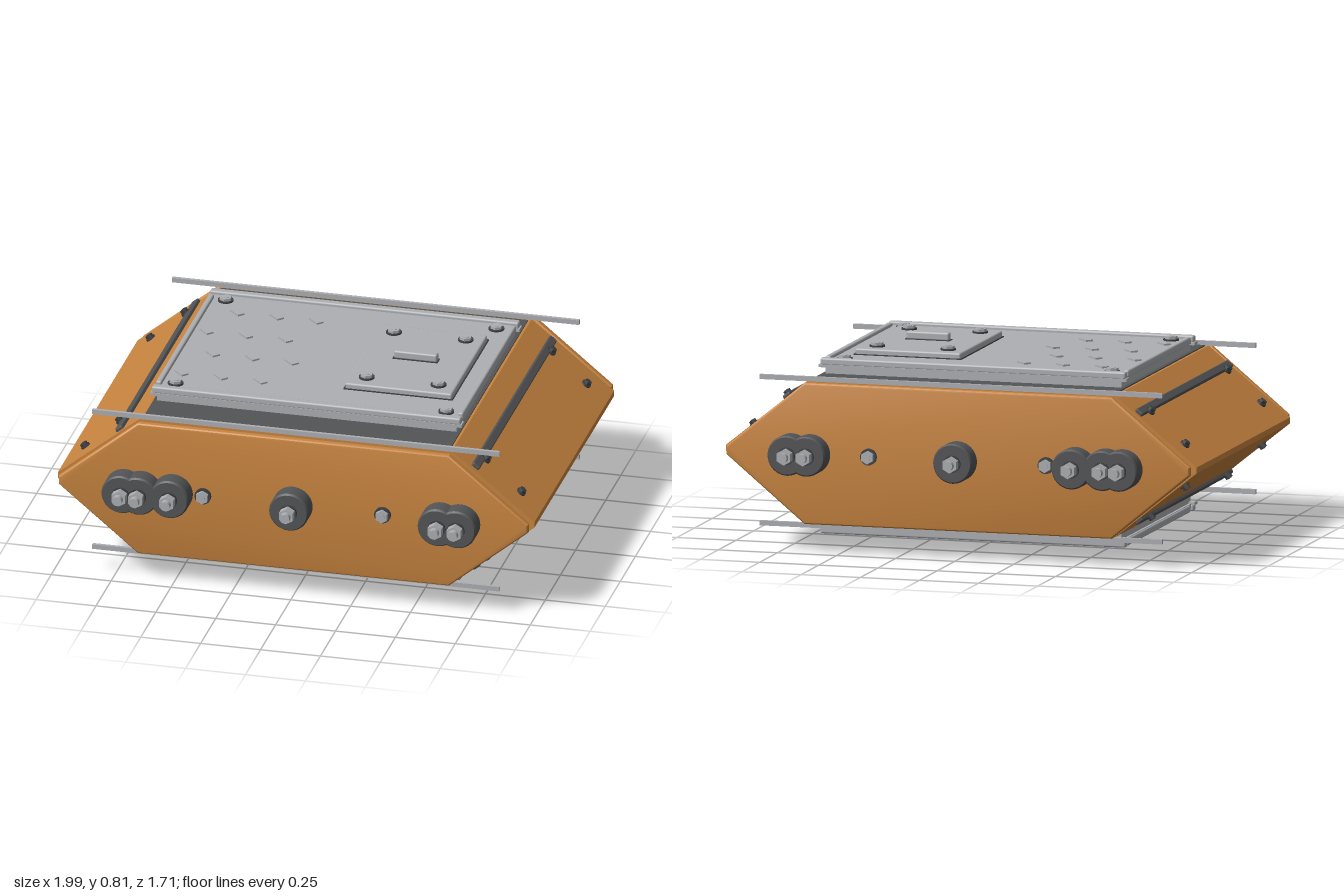
import * as THREE from 'three';
import { toCreasedNormals } from 'three/addons/utils/BufferGeometryUtils.js';
import { RoundedBoxGeometry } from 'three/addons/geometries/RoundedBoxGeometry.js';

const MID = 0.405; // height of the plane of symmetry

const paint = (name, color) => {
  const m = new THREE.MeshStandardMaterial({ color });
  m.name = name;
  return m;
};

export function createModel() {
  const orange = paint('orange paint', 0xc8843f);
  const dark = paint('dark rubber', 0x535456);
  const black = paint('blackened steel', 0x3f4144);
  const silver = paint('silver steel', 0xadafb2);

  const add = (parent, name, geo, mat, x = 0, y = 0, z = 0) => {
    const mesh = new THREE.Mesh(geo, mat);
    mesh.name = name;
    mesh.position.set(x, y, z);
    parent.add(mesh);
    return mesh;
  };
  const box = (w, h, d) => new THREE.BoxGeometry(w, h, d);
  const hexGeo = (r, h) => toCreasedNormals(new THREE.CylinderGeometry(r, r, h, 6), 0.5);
  const disc = (r, h) => new THREE.CylinderGeometry(r, r, h, 32);

  // Hex bolt on a washer, standing on local y = 0
  const bolt = (parent, name, r, h, washerMat, headMat) => {
    const g = new THREE.Group();
    g.name = name;
    add(g, 'washer', disc(r, h * 0.4), washerMat, 0, h * 0.2);
    add(g, 'hexHead', hexGeo(r * 0.8, h * 0.6), headMat, 0, h * 0.7);
    add(g, 'boltTip', disc(r * 0.42, h * 0.1), headMat, 0, h * 1.05);
    parent.add(g);
    return g;
  };

  // Six-sided outline extruded along z and centred
  const hull = (tip, shoulder, half, depth, bevel) => {
    const s = new THREE.Shape();
    const b = bevel;
    [[tip - b, 0.012], [shoulder, half - b], [-shoulder, half - b], [-tip + b, 0.012],
      [-tip + b, -0.012], [-shoulder, -half + b], [shoulder, -half + b], [tip - b, -0.012]]
      .forEach(([x, y], i) => (i ? s.lineTo(x, y) : s.moveTo(x, y)));
    s.closePath();
    const geo = new THREE.ExtrudeGeometry(s, {
      depth: depth - 2 * b, bevelEnabled: b > 0, bevelSize: b, bevelThickness: b, bevelSegments: 3,
    });
    geo.translate(0, 0, -depth / 2 + b);
    return toCreasedNormals(geo, 0.5);
  };

  const model = new THREE.Group();
  model.name = 'hexagonalHousing';
  const core = new THREE.Group();
  core.name = 'housing';
  core.position.y = MID;
  model.add(core);
  add(core, 'mainBody', hull(0.995, 0.65, 0.29, 1.32, 0), orange);

  // Front and back faces, each with its own hubs and bolts
  for (const side of [1, -1]) {
    const face = new THREE.Group();
    face.name = side > 0 ? 'frontFace' : 'backFace';
    core.add(face);
    add(face, 'sidePlate', hull(0.98, 0.645, 0.29, 0.034, 0.012), orange, 0, 0, side * 0.695);

    for (const x of [-0.7, -0.63, -0.5, 0, 0.62, 0.7]) {
      const hub = new THREE.Group();
      hub.name = 'hub';
      hub.position.set(x, 0, side * 0.66);
      hub.rotation.x = side * Math.PI / 2;
      face.add(hub);
      const profile = [[0, 0], [0.082, 0], [0.082, 0.122], [0.076, 0.13], [0, 0.13]]
        .map(([r, y]) => new THREE.Vector2(r, y));
      add(hub, 'hubDrum', toCreasedNormals(new THREE.LatheGeometry(profile, 40), 0.5), dark);
      add(hub, 'hubWasher', disc(0.036, 0.01), black, 0, 0.133);
      add(hub, 'hubNut', hexGeo(0.033, 0.035), silver, 0, 0.153);
      add(hub, 'hubStud', disc(0.02, 0.03), silver, 0, 0.18);
    }
    for (const x of [-0.375, 0.375]) {
      const b = bolt(face, 'plateBolt', 0.034, 0.03, black, silver);
      b.position.set(x, 0, side * 0.711);
      b.rotation.x = side * Math.PI / 2;
    }
    // Long thin strips overhanging the shoulders
    for (const sy of [1, -1]) {
      add(face, 'edgeStrip', box(1.7, 0.02, 0.014), silver, 0, sy * 0.3, side * 0.66);
    }
  }

  // Four sloping end panels with seal bars and bolts
  for (const sx of [1, -1]) {
    for (const sy of [1, -1]) {
      const slope = new THREE.Group();
      slope.name = 'slopeFittings';
      slope.position.set(sx * 0.74, sy * 0.217, 0);
      slope.rotation.z = Math.atan2(-sx * 0.278, sy * 0.345);
      core.add(slope);
      add(slope, 'sealBar', new RoundedBoxGeometry(0.036, 0.032, 1.28, 2, 0.006), dark);
      for (const z of [-0.54, 0.54]) {
        const inner = bolt(slope, 'barBolt', 0.02, 0.022, black, black);
        inner.position.set(sx * sy * 0.02, 0.008, z);
        const outer = bolt(slope, 'slopeBolt', 0.02, 0.02, black, black);
        outer.position.set(sx * sy * 0.215, 0, z);
      }
    }
  }

  // Cover assembly, used on the top and turned over on the bottom
  const makeCover = (name) => {
    const c = new THREE.Group();
    c.name = name;
    add(c, 'darkPanel', box(1.28, 0.012, 1.28), dark, 0, 0.289);
    add(c, 'coverBase', box(1.25, 0.035, 0.97), silver, 0, 0.313);
    add(c, 'coverPlate', box(1.27, 0.018, 0.97), silver, 0, 0.337);
    for (const s of [1, -1]) {
      add(c, 'longRail', new RoundedBoxGeometry(1.29, 0.03, 0.034, 2, 0.008), silver, 0, 0.345, s * 0.481);
      add(c, 'longLedge', box(1.3, 0.012, 0.04), silver, 0, 0.328, s * 0.48);
      add(c, 'shortRail', new RoundedBoxGeometry(0.024, 0.03, 0.88, 2, 0.008), silver, s * 0.63, 0.345);
      for (const z of [-0.415, 0.415]) {
        bolt(c, 'cornerBolt', 0.032, 0.018, black, silver).position.set(s * 0.565, 0.345, z);
      }
    }
    // Raised treads in staggered rows
    [-0.31, -0.105, 0.1, 0.31].forEach((z, row) => {
      for (let i = 0; i < 3; i++) {
        const x = -0.49 + i * 0.165 - (row % 2) * 0.077;
        add(c, 'tread', box(0.06, 0.008, 0.032), silver, x, 0.349, z).rotation.y = -Math.PI / 4;
      }
    });
    // Access hatch with handle
    add(c, 'hatchSeam', box(0.456, 0.008, 0.606), black, 0.335, 0.346);
    add(c, 'hatch', new RoundedBoxGeometry(0.446, 0.03, 0.596, 2, 0.008), silver, 0.335, 0.357);
    add(c, 'handleSeat', box(0.188, 0.004, 0.044), black, 0.335, 0.373);
    add(c, 'handle', new RoundedBoxGeometry(0.18, 0.034, 0.034, 3, 0.008), silver, 0.335, 0.388);
    for (const x of [0.185, 0.485]) {
      for (const z of [-0.225, 0.225]) {
        bolt(c, 'hatchBolt', 0.032, 0.018, black, silver).position.set(x, 0.371, z);
      }
    }
    core.add(c);
    return c;
  };
  makeCover('topCover');
  makeCover('bottomCover').rotation.x = Math.PI;

  return model;
}
